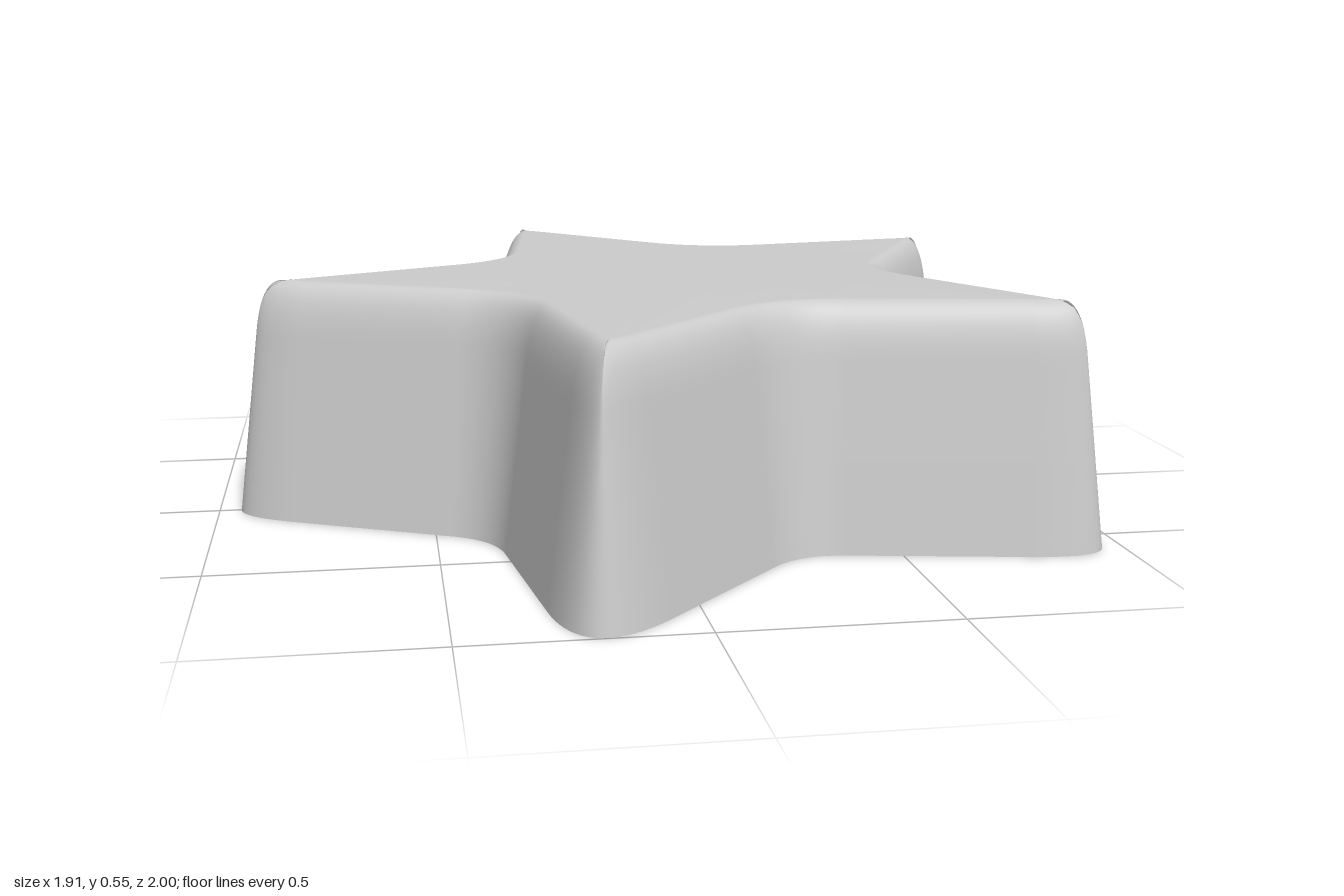
import * as THREE from 'three';
import { mergeVertices } from 'three/addons/utils/BufferGeometryUtils.js';

const CENTRE_X = 0.097, HEIGHT = 0.55, V = (x, y) => new THREE.Vector2(x, y);

// Half of one arm in its own frame (x along the arm, y sideways), from tip to notch.
function halfArm() {
  const tip = V(1.177, 0), a = Math.PI / 5;
  const notch = V(Math.cos(a), Math.sin(a)).multiplyScalar(0.578);
  const e = notch.clone().sub(tip).normalize();
  const phi = 2 * a - Math.atan2(-e.y, -e.x);
  const tipCut = 0.29, notchCut = 0.105;
  const tipCurve = new THREE.QuadraticBezierCurve(
    tip.clone().add(V(e.x, -e.y).multiplyScalar(tipCut)), tip,
    tip.clone().addScaledVector(e, tipCut));
  const notchCurve = new THREE.QuadraticBezierCurve(
    notch.clone().addScaledVector(e, -notchCut), notch,
    notch.clone().add(V(Math.cos(phi), Math.sin(phi)).multiplyScalar(notchCut)));
  const out = [];
  const sample = (curve, t) => {
    const d = curve.getTangent(t);
    out.push({ p: curve.getPoint(t), n: V(d.y, -d.x) });
  };
  for (let i = 0; i <= 16; i++) sample(tipCurve, 0.5 + i / 32);
  for (let i = 0; i <= 8; i++) sample(notchCurve, i / 16);
  return out;
}

// Move the half arm inward; where it would cross the arm's axis it meets in a ridge.
function insetArm(arm, inset) {
  const pts = arm.map(({ p, n }) => p.clone().addScaledVector(n, -inset));
  for (let i = pts.length - 2; i >= 0; i--) {
    const q = pts[i], r = pts[i + 1];
    if (q.y >= 0) continue;
    const k = r.y / (r.y - q.y);
    q.set(r.x + (q.x - r.x) * k, 0);
  }
  return pts;
}

// Full star outline, five mirrored arms.
function starRing(arm, inset, y) {
  const half = insetArm(arm, inset), ring = [];
  const mirrored = half.slice(1, -1).reverse().map(p => V(p.x, -p.y));
  const whole = [...mirrored, ...half];
  for (let k = 0; k < 5; k++) {
    const a = Math.PI + k * Math.PI * 2 / 5, c = Math.cos(a), s = Math.sin(a);
    for (const p of whole) ring.push([CENTRE_X + p.x * c - p.y * s, y, p.x * s + p.y * c]);
  }
  return ring;
}

function makeGeometry(positions, index) {
  let g = new THREE.BufferGeometry();
  g.setAttribute('position', new THREE.Float32BufferAttribute(positions.flat(), 3));
  g.setIndex(index);
  g = mergeVertices(g, 1e-5);
  g.computeVertexNormals();
  return g;
}

export function createModel() {
  const group = new THREE.Group();
  group.name = 'star';
  const material = new THREE.MeshStandardMaterial({ color: 0xcccccc });
  const arm = halfArm();

  // Wall profile: tapered side, then a rounded upper rim
  const rim = new THREE.QuadraticBezierCurve(V(0.052, 0.42), V(0.066, HEIGHT), V(0.115, HEIGHT));
  const profile = [V(0, 0), V(0.026, 0.21), ...rim.getPoints(12)];
  const rings = profile.map(p => starRing(arm, p.x, p.y));
  const n = rings[0].length, positions = rings.flat(), index = [];
  for (let r = 0; r < rings.length - 1; r++) {
    for (let i = 0; i < n; i++) {
      const j = (i + 1) % n, a = r * n, b = a + n;
      index.push(a + i, b + i, a + j, a + j, b + i, b + j);
    }
  }
  // Flat top
  const top = (rings.length - 1) * n;
  positions.push([CENTRE_X, HEIGHT, 0]);
  for (let i = 0; i < n; i++) index.push(positions.length - 1, top + (i + 1) % n, top + i);
  const body = new THREE.Mesh(makeGeometry(positions, index), material);
  body.name = 'starBody';
  group.add(body);

  // Flat underside with a sharp edge
  const basePos = [...rings[0], [CENTRE_X, 0, 0]], baseIndex = [];
  for (let i = 0; i < n; i++) baseIndex.push(n, i, (i + 1) % n);
  const base = new THREE.Mesh(makeGeometry(basePos, baseIndex), material);
  base.name = 'underside';
  group.add(base);
  return group;
}
